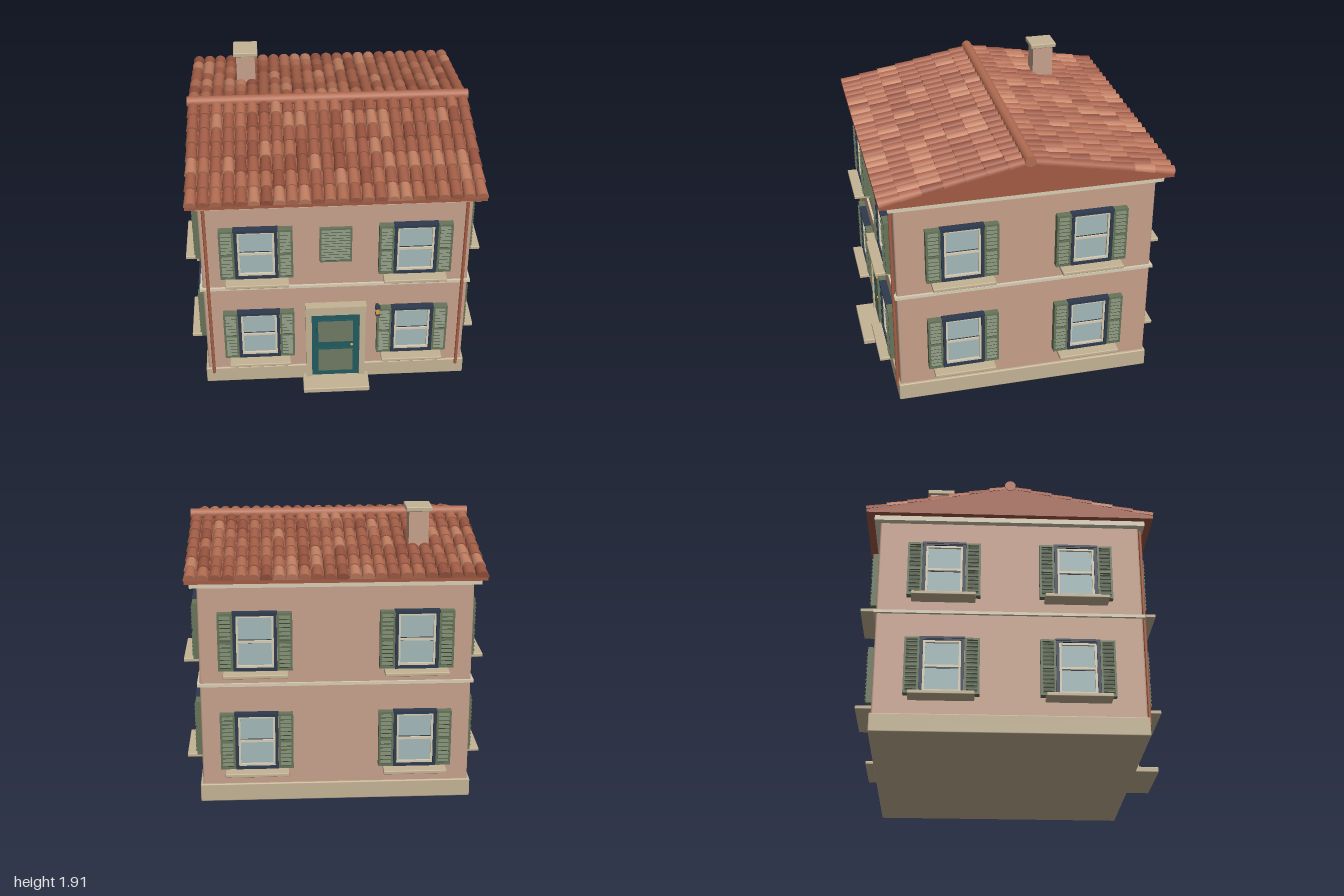
import * as THREE from 'three';
import { mergeGeometries } from 'three/addons/utils/BufferGeometryUtils.js';
import { RoundedBoxGeometry } from 'three/addons/geometries/RoundedBoxGeometry.js';

const mat = (color) => new THREE.MeshStandardMaterial({ color });
const M = {
  wall: mat(0xc6a08a), stone: mat(0xc4b394), trim: mat(0xd8cdb4), green: mat(0x67745a),
  darkGreen: mat(0x47523f), navy: mat(0x2d3a4e), glass: mat(0xa2b8b8), teal: mat(0x225a60),
  panel: mat(0x6e7a62), copper: mat(0xa65f45), gable: mat(0xa25a43), amber: mat(0xd9a63c),
};
const tileMats = [0xa35e47, 0xb26c52, 0xc07f62, 0x96533f].map(mat);

const HX = 0.88, HZ = 0.86; // half width and half depth of the walls

const box = (w, h, d, x = 0, y = 0, z = 0) => new THREE.BoxGeometry(w, h, d).translate(x, y, z);

function part(name, material, ...geos) {
  const mesh = new THREE.Mesh(geos.length > 1 ? mergeGeometries(geos) : geos[0], material);
  mesh.name = name;
  return mesh;
}

function group(name, ...children) {
  const g = new THREE.Group();
  g.name = name;
  if (children.length) g.add(...children);
  return g;
}

// Rectangular ring standing on the z = 0 wall plane
function ring(w, h, t, d) {
  return [-1, 1].flatMap((s) => [
    box(t, h, d, s * (w - t) / 2, 0, d / 2),
    box(w - 2 * t, t, d, 0, s * (h - t) / 2, d / 2),
  ]);
}

// Tilted slats stacked between two heights
function slats(n, y0, y1, w, x, z) {
  return Array.from({ length: n }, (_, i) =>
    new THREE.BoxGeometry(w, 0.008, 0.026).rotateX(0.6)
      .translate(x, y0 + (i + 0.5) * (y1 - y0) / n, z));
}

function shutter(x) {
  const frame = ring(0.097, 0.385, 0.014, 0.046).map((g) => g.translate(x, 0, 0));
  frame.push(box(0.07, 0.016, 0.046, x, 0, 0.023));
  return group('shutter',
    part('shutterBack', M.darkGreen, box(0.08, 0.37, 0.03, x, 0, 0.015)),
    part('shutterFrame', M.green, ...frame),
    part('shutterSlats', M.green,
      ...slats(6, -0.176, -0.01, 0.07, x, 0.042), ...slats(6, 0.01, 0.176, 0.07, x, 0.042)));
}

function makeWindow() {
  return group('window',
    part('windowSurround', M.navy, ...ring(0.28, 0.39, 0.02, 0.045),
      box(0.288, 0.014, 0.05, 0, 0.19, 0.025)),
    part('windowFrame', M.trim, ...ring(0.242, 0.352, 0.015, 0.035),
      box(0.22, 0.016, 0.034, 0, 0, 0.017)),
    part('sashLines', M.navy, box(0.215, 0.024, 0.024, 0, 0, 0.012)),
    part('glass', M.glass, box(0.22, 0.33, 0.02, 0, 0, 0.01)),
    part('sill', M.stone, new RoundedBoxGeometry(0.415, 0.024, 0.12, 2, 0.005).translate(0, -0.211, 0.054)),
    shutter(-0.19), shutter(0.19));
}

function makeDoor() {
  const frames = [[0.435, 0.19], [0.176, 0.202]].flatMap(([y, h]) =>
    ring(0.258, h + 0.016, 0.01, 0.03).map((g) => g.translate(0, y, 0)));
  return group('door',
    part('doorSurround', M.stone, box(0.04, 0.6, 0.04, -0.183, 0.33, 0.02),
      box(0.04, 0.6, 0.04, 0.183, 0.33, 0.02), box(0.4, 0.045, 0.04, 0, 0.612, 0.02),
      box(0.41, 0.042, 0.06, 0, 0.652, 0.03)),
    part('doorLeaf', M.teal, box(0.328, 0.56, 0.025, 0, 0.315, 0.0125), ...frames),
    part('doorPanels', M.panel, box(0.24, 0.19, 0.01, 0, 0.435, 0.023),
      box(0.24, 0.202, 0.01, 0, 0.176, 0.023)),
    part('doorKnob', M.amber, new THREE.SphereGeometry(0.01, 12, 8).translate(0.11, 0.317, 0.034)),
    part('doorstep', M.stone, new RoundedBoxGeometry(0.455, 0.038, 0.165, 2, 0.006).translate(0, 0.019, 0.0825)));
}

function makeLamp() {
  return group('wallLamp',
    part('lampFrame', M.navy, box(0.02, 0.04, 0.012, 0, 0, 0.006), box(0.01, 0.01, 0.04, 0, 0.02, 0.02),
      box(0.035, 0.014, 0.035, 0, 0.028, 0.048), box(0.03, 0.01, 0.03, 0, -0.03, 0.048)),
    part('lampGlass', M.amber, box(0.024, 0.05, 0.024, 0, -0.003, 0.048)));
}

// Overlapping half-round tiles on one slope, in local space with the ridge at z = 0
function tiledSlope(run, yRidge, yEave, seed) {
  const cols = 24, rows = 7, pitch = 1.91 / cols;
  const angle = Math.atan2(yRidge - yEave, run);
  const step = Math.hypot(run, yRidge - yEave) / rows;
  const buckets = tileMats.map(() => []);
  const rand = () => (seed = (seed * 16807) % 2147483647) / 2147483647;
  for (let c = 0; c < cols; c++) {
    for (let r = 0; r < rows; r++) {
      const s = (r + 0.5) * step;
      const tile = new THREE.CylinderGeometry(0.033, 0.041, step, 10, 1, false, -Math.PI / 2, Math.PI)
        .rotateX(-Math.PI / 2 + angle)
        .translate((c + 0.5 - cols / 2) * pitch, yRidge - s * Math.sin(angle), s * Math.cos(angle));
      const k = rand();
      buckets[k < 0.5 ? 0 : k < 0.75 ? 1 : k < 0.88 ? 2 : 3].push(tile);
    }
  }
  return group('roofTiles', ...buckets.map((b, i) => part('roofTiles' + (i + 1), tileMats[i], ...b)));
}

function makeRoof() {
  const run = 0.953, yRidge = 1.737, yEave = 1.552, half = 0.95;
  const profile = new THREE.Shape([
    new THREE.Vector2(-run, 1.53), new THREE.Vector2(run, 1.53), new THREE.Vector2(run, yEave),
    new THREE.Vector2(0, yRidge), new THREE.Vector2(-run, yEave)]);
  const body = new THREE.ExtrudeGeometry(profile, { depth: 2 * half, bevelEnabled: false })
    .translate(0, 0, -half).rotateY(-Math.PI / 2);
  const front = tiledSlope(run, yRidge, yEave, 11);
  const back = tiledSlope(run, yRidge, yEave, 77);
  back.rotation.y = Math.PI;
  return group('roof', part('roofBody', M.gable, body), front, back,
    part('ridge', tileMats[1], new THREE.CylinderGeometry(0.036, 0.036, 1.912, 20)
      .rotateZ(Math.PI / 2).translate(0, 1.757, 0)));
}

export function createModel() {
  const house = group('house');

  // Walls and horizontal bands
  house.add(
    part('walls', M.wall, new RoundedBoxGeometry(2 * HX, 1.45, 2 * HZ, 2, 0.012).translate(0, 0.795, 0)),
    part('plinth', M.stone, new RoundedBoxGeometry(1.795, 0.124, 1.745, 2, 0.008).translate(0, 0.062, 0)),
    part('floorBand', M.trim, box(1.795, 0.02, 1.75, 0, 0.826, 0)),
    part('cornice', M.trim, box(1.845, 0.034, 1.795, 0, 1.505, 0)),
    part('eavesFill', M.gable, box(1.78, 0.02, 1.74, 0, 1.525, 0)));

  // Four windows on each side of the house
  for (let side = 0; side < 4; side++) {
    const facade = group('facade');
    const alongX = side % 2 === 0;
    for (const s of [-1, 1]) {
      for (const y of [0.44, 1.128]) {
        const win = makeWindow();
        win.position.set(s * (alongX ? 0.518 : 0.43), y, alongX ? HZ : HX);
        facade.add(win);
      }
    }
    facade.rotation.y = side * Math.PI / 2;
    house.add(facade);
  }

  // Front entrance, lamp, vent and downpipes
  const door = makeDoor();
  door.position.z = HZ;
  const lamp = makeLamp();
  lamp.position.set(0.281, 0.625, HZ);
  const vent = group('vent',
    part('ventFrame', M.green, ...ring(0.21, 0.27, 0.012, 0.022)),
    part('ventBack', M.darkGreen, box(0.2, 0.26, 0.01, 0, 0, 0.005)),
    part('ventSlats', M.green, ...slats(11, -0.122, 0.122, 0.188, 0, 0.014)));
  vent.position.set(0, 1.167, HZ);
  house.add(door, lamp, vent);
  for (const s of [-1, 1]) {
    house.add(part('downpipe', M.copper,
      new THREE.CylinderGeometry(0.011, 0.011, 1.42, 12).translate(s * 0.843, 0.8, HZ + 0.016)));
  }

  // Roof and chimney
  house.add(makeRoof(), group('chimney',
    part('chimneyStack', M.wall, box(0.13, 0.33, 0.146, -0.557, 1.725, -0.467)),
    part('chimneyCap', M.stone, new RoundedBoxGeometry(0.17, 0.032, 0.184, 2, 0.006).translate(-0.557, 1.898, -0.467))));

  house.position.z = -0.027;
  // Doorstep reaches the front limit of the footprint
  door.getObjectByName('doorstep').position.z = 0.0015;
  return group('model', house);
}
